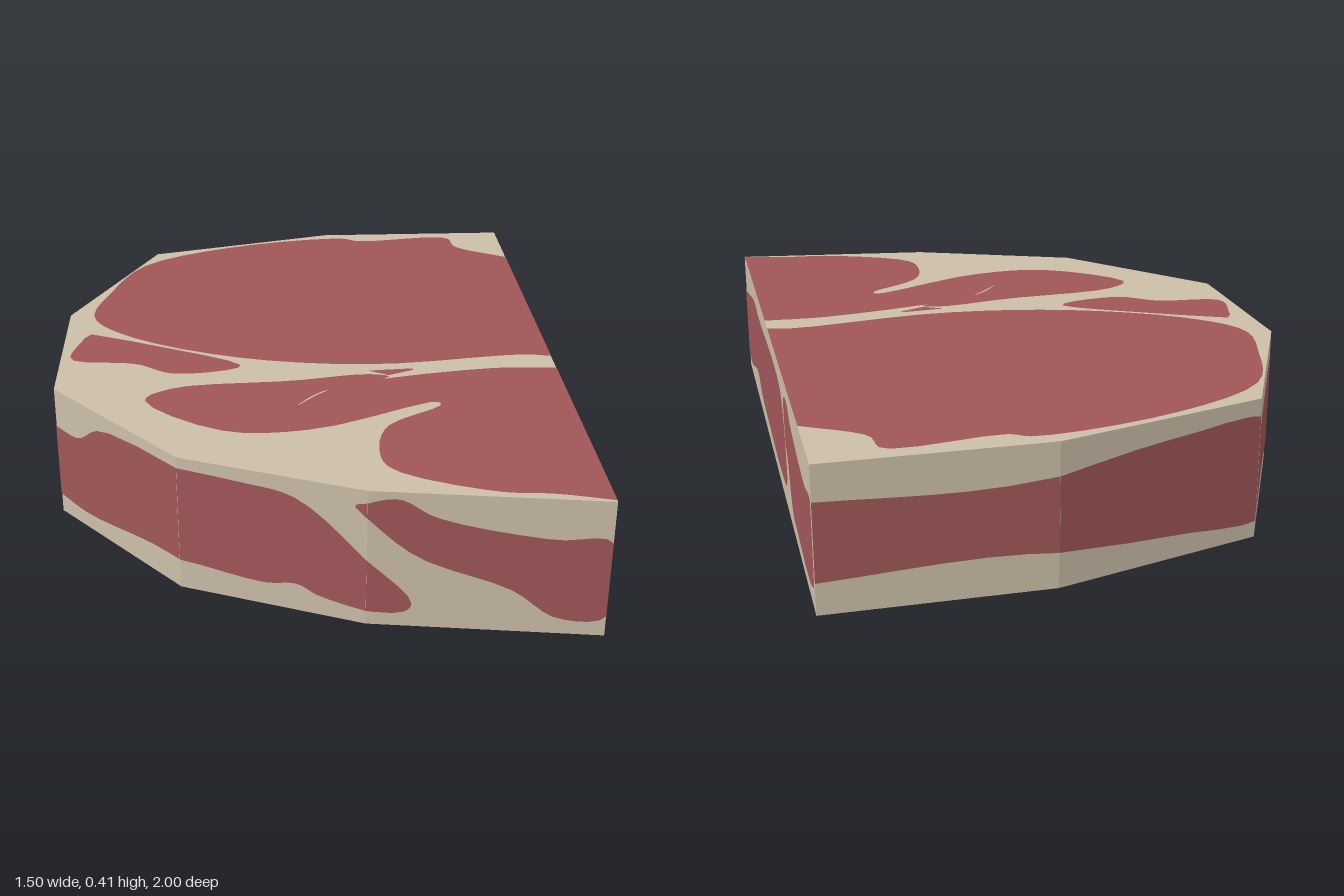
import * as THREE from 'three';

const H = 0.41, GAP = 0.002;

// Slab outline in (x, z), walked left to right as seen from outside
const outline = [[-0.75, 0.27], [-0.38, 0.71], [0.12, 0.915], [0.75, 1], [0.75, -1], [0.12, -1], [-0.49, -0.83], [-0.75, -0.28]];

const toShape = (pts) => new THREE.Shape(pts.map(([a, b]) => new THREE.Vector2(a, b)));

// Smooth curve through alternating coordinates, closed by a straight line
function smooth(...c) {
  const knots = [];
  for (let i = 0; i < c.length; i += 2) knots.push(new THREE.Vector3(c[i], c[i + 1], 0));
  return new THREE.CatmullRomCurve3(knots).getPoints(knots.length * 4).map((p) => [p.x, p.y]);
}

// Keep the part of a polygon where sign * (first coordinate - limit) >= 0
function clip(pts, limit, sign) {
  const out = [];
  pts.forEach((p, i) => {
    const q = pts[(i + 1) % pts.length];
    const dp = sign * (p[0] - limit), dq = sign * (q[0] - limit);
    if (dp >= 0) out.push(p);
    if (dp * dq < 0) out.push([limit, p[1] + (q[1] - p[1]) * dp / (dp - dq)]);
  });
  return out;
}

export function createModel() {
  const model = new THREE.Group();
  model.name = 'meatSlab';
  const fat = new THREE.MeshStandardMaterial({ color: 0xcbbea8 });
  fat.name = 'fat';
  const meat = new THREE.MeshStandardMaterial({ color: 0xa05658 });
  meat.name = 'meat';
  const add = (name, geometry, material) => {
    const mesh = new THREE.Mesh(geometry, material);
    mesh.name = name;
    model.add(mesh);
  };

  // Fat body
  const body = new THREE.ExtrudeGeometry(toShape(outline.map(([x, z]) => [x, -z])), { depth: H, bevelEnabled: false });
  add('fatBody', body.rotateX(-Math.PI / 2).translate(0, GAP, 0), fat);

  // One meat area in (x, z), shown on both the top and the bottom face
  const muscle = (name, pts) => {
    const top = new THREE.ShapeGeometry(toShape(pts.map(([x, z]) => [x, -z])));
    add(name + 'Top', top.rotateX(-Math.PI / 2).translate(0, H + 2 * GAP, 0), meat);
    add(name + 'Bottom', new THREE.ShapeGeometry(toShape(pts)).rotateX(Math.PI / 2), meat);
  };

  muscle('largeMuscle', smooth(0.75, 0.11, 0.67, 0.095, 0.2, 0.145, -0.2, 0.08, -0.54, -0.09, -0.67, -0.25, -0.63, -0.47,
    -0.52, -0.72, -0.2, -0.89, 0.18, -0.955, 0.24, -0.925, 0.56, -0.945, 0.585, -0.85, 0.75, -0.74));
  muscle('smallMuscle', smooth(-0.67, -0.12, -0.48, -0.03, -0.2, 0.14, -0.4, 0.185, -0.52, 0.11, -0.715, 0.07, -0.69, -0.09));
  muscle('forkedMuscle', smooth(0.75, 0.195, 0.55, 0.19, 0.08, 0.3, -0.04, 0.415, 0.03, 0.33, 0.24, 0.235, 0.18, 0.215,
    -0.05, 0.25, -0.4, 0.285, -0.48, 0.36, -0.25, 0.565, 0, 0.565, 0.36, 0.41, 0.37, 0.43, 0.21, 0.55, 0.17, 0.68, 0.19, 0.8,
    0.45, 0.935, 0.6, 0.955, 0.75, 0.995));
  muscle('meatFleck', smooth(0.18, 0.19, 0.32, 0.185, 0.24, 0.225));

  // One meat band in (x, y) or (z, y), cut at the corners and laid on each wall it crosses
  const band = (name, axis, walls, pts) => {
    for (const w of walls) {
      const p = outline[w], q = outline[(w + 1) % outline.length];
      const a = p[axis], b = q[axis];
      const part = clip(clip(pts, Math.min(a, b), 1), Math.max(a, b), -1);
      if (part.length < 3) continue;
      const dir = new THREE.Vector3(q[0] - p[0], 0, q[1] - p[1]);
      const length = dir.length();
      const up = new THREE.Vector3(0, 1, 0);
      const normal = dir.normalize().clone().cross(up);
      const place = new THREE.Matrix4().makeBasis(dir, up, normal)
        .setPosition(p[0] + normal.x * GAP, GAP, p[1] + normal.z * GAP);
      const flat = part.map(([v, y]) => [(v - a) / (b - a) * length, y]);
      add(name, new THREE.ShapeGeometry(toShape(flat)).applyMatrix4(place), meat);
    }
  };

  const front = [0, 1, 2], cut = [3], back = [4, 5], rim = [6, 7];
  band('frontBandRight', 0, front, smooth(-0.75, 0.29, -0.68, 0.29, -0.6, 0.36, -0.2, 0.37, -0.06, 0.35, 0.12, 0.2,
    0.24, 0.075, 0.22, 0.045, 0, 0.06, -0.06, 0.085, -0.15, 0.07, -0.42, 0.09, -0.66, 0.05, -0.75, 0.06));
  band('frontBandLeft', 0, front, smooth(0.09, 0.365, 0.2, 0.39, 0.3, 0.34, 0.6, 0.29, 0.75, 0.29, 0.75, 0.06,
    0.62, 0.05, 0.5, 0.13, 0.25, 0.22, 0.09, 0.355));
  band('cutBandFront', 1, cut, smooth(1, 0.285, 0.82, 0.32, 0.58, 0.36, 0.43, 0.35, -0.14, 0.365, -0.3, 0.335, -0.36, 0.22,
    -0.36, 0.09, -0.16, 0.055, 0.2, 0.06, 0.45, 0.07, 0.6, 0.105, 0.88, 0.045, 1, 0.055));
  band('cutBandBack', 1, cut, smooth(-0.37, 0.22, -0.365, 0.35, -0.47, 0.375, -0.53, 0.345, -0.86, 0.3, -1, 0.31,
    -1, 0.08, -0.6, 0.055, -0.5, 0.07, -0.42, 0.19));
  band('backBand', 0, back, smooth(0.75, 0.31, 0.3, 0.3, -0.22, 0.35, -0.55, 0.335, -0.55, 0.07, -0.2, 0.07, 0.25, 0.11, 0.75, 0.09));
  band('rimBandBack', 1, rim, smooth(-0.83, 0.335, -0.65, 0.35, -0.28, 0.345, -0.2, 0.25, -0.28, 0.06, -0.55, 0.09, -0.83, 0.07));
  band('rimBandFront', 1, rim, smooth(-0.18, 0.26, -0.05, 0.33, 0.27, 0.29, 0.27, 0.06, -0.02, 0.11, -0.24, 0.1));
  return model;
}
